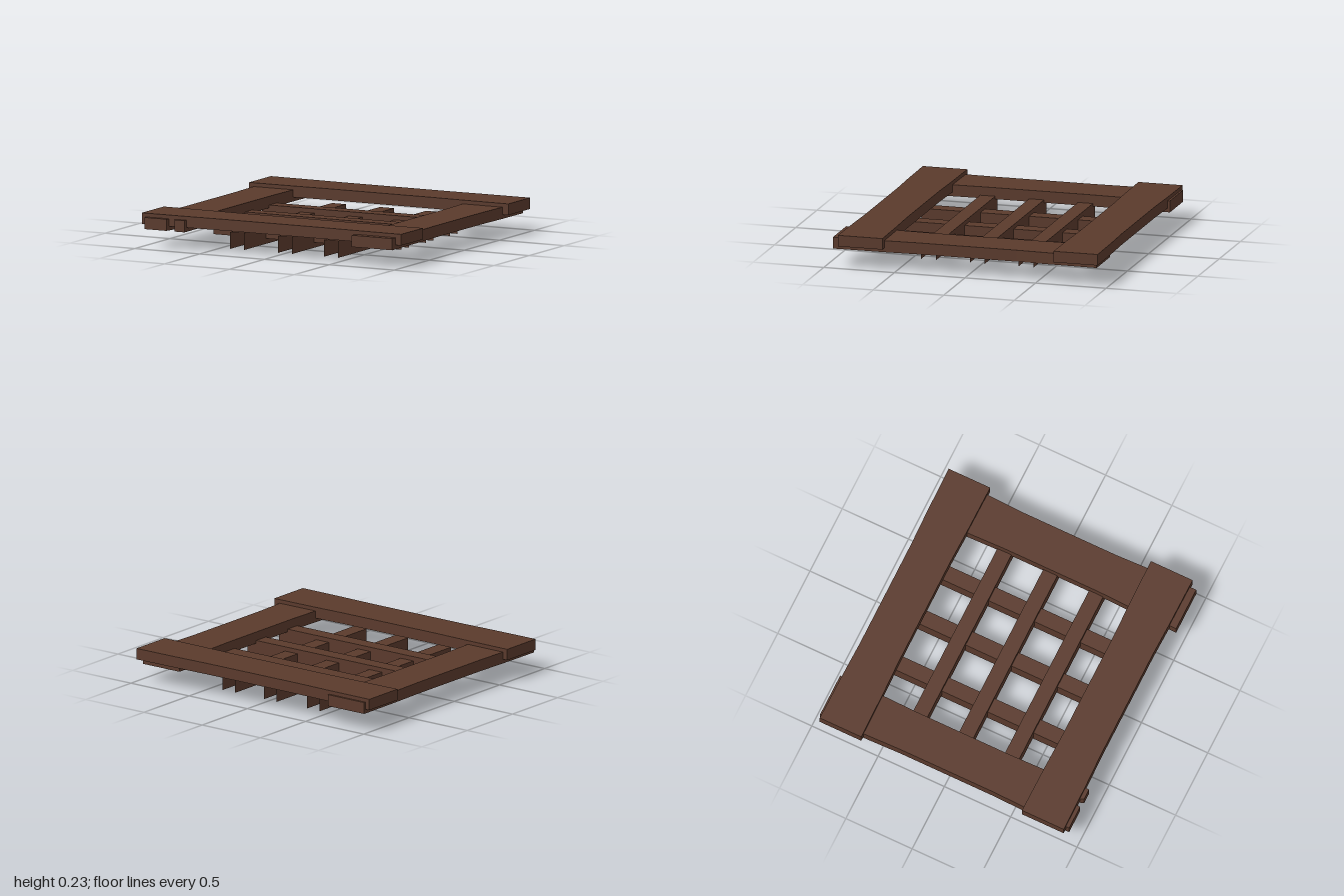
import * as THREE from 'three';
import { mergeGeometries } from 'three/addons/utils/BufferGeometryUtils.js';

const wood = new THREE.MeshStandardMaterial({ color: 0x5a3a2c, side: THREE.DoubleSide });
wood.name = 'darkWood';

// Hollow plank: a top face and side walls, open underneath.
// The outline holds [x, z] corners, counterclockwise from above; openEdges get no wall.
function plank(name, outline, y0, y1, openEdges = []) {
  const shape = new THREE.Shape(outline.map(([x, z]) => new THREE.Vector2(x, -z)));
  const top = new THREE.ShapeGeometry(shape).rotateX(-Math.PI / 2).translate(0, y1, 0).toNonIndexed();
  const corners = [];
  outline.forEach(([ax, az], i) => {
    if (openEdges.includes(i)) return;
    const [bx, bz] = outline[(i + 1) % outline.length];
    corners.push(ax, y0, az, bx, y0, bz, bx, y1, bz, ax, y0, az, bx, y1, bz, ax, y1, az);
  });
  const walls = new THREE.BufferGeometry();
  walls.setAttribute('position', new THREE.Float32BufferAttribute(corners, 3));
  walls.computeVertexNormals();
  top.deleteAttribute('uv');
  const mesh = new THREE.Mesh(mergeGeometries([top, walls]), wood);
  mesh.name = name;
  return mesh;
}

// Rail running along x, slightly slimmer in the middle
function crossRail(name, zBack, zFront, pinch) {
  const b = zBack + pinch, f = zFront - pinch;
  return plank(name, [
    [-1, zFront], [-0.65, zFront - pinch / 3], [-0.4, f], [0.4, f], [0.65, zFront - pinch / 3], [1, zFront],
    [1, zBack], [0.65, zBack + pinch / 3], [0.4, b], [-0.4, b], [-0.65, zBack + pinch / 3], [-1, zBack],
  ], 0.155, 0.232);
}

export function createModel() {
  const group = new THREE.Group();
  group.name = 'woodenGrate';

  // Upper rails of the frame
  group.add(crossRail('frontRail', 0.585, 0.9, 0.009));
  group.add(crossRail('backRail', -0.94, -0.627, 0.009));

  // Lower rails; the right one has a split at its front end
  group.add(plank('leftRail', [
    [0.645, 0.948], [0.957, 0.948], [0.954, 0.6], [0.945, 0.35], [0.945, -0.35], [0.954, -0.6],
    [0.957, -0.92], [0.645, -0.92], [0.648, -0.6], [0.655, -0.35], [0.655, 0.35], [0.648, 0.6],
  ], 0.126, 0.206));
  group.add(plank('rightRail', [
    [-0.967, 0.925], [-0.797, 0.925], [-0.775, 0.8], [-0.735, 0.925], [-0.657, 0.925],
    [-0.66, 0.6], [-0.666, 0.35], [-0.666, -0.35], [-0.66, -0.6],
    [-0.657, -0.953], [-0.967, -0.953], [-0.964, -0.6], [-0.957, -0.35], [-0.957, 0.35], [-0.964, 0.6],
  ], 0.126, 0.206));

  // Lattice bars, open at both ends
  const rect = (x0, x1, z0, z1) => [[x0, z1], [x1, z1], [x1, z0], [x0, z0]];
  [-0.352, -0.006, 0.34].forEach((z, i) =>
    group.add(plank(`crossBar${i + 1}`, rect(-0.72, 0.73, z - 0.053, z + 0.053), 0.037, 0.146, [1, 3])));
  [-0.371, -0.002, 0.354].forEach((x, i) =>
    group.add(plank(`lengthBar${i + 1}`, rect(x - 0.054, x + 0.054, -0.75, 0.705), 0, 0.116, [0, 2])));

  return group;
}
